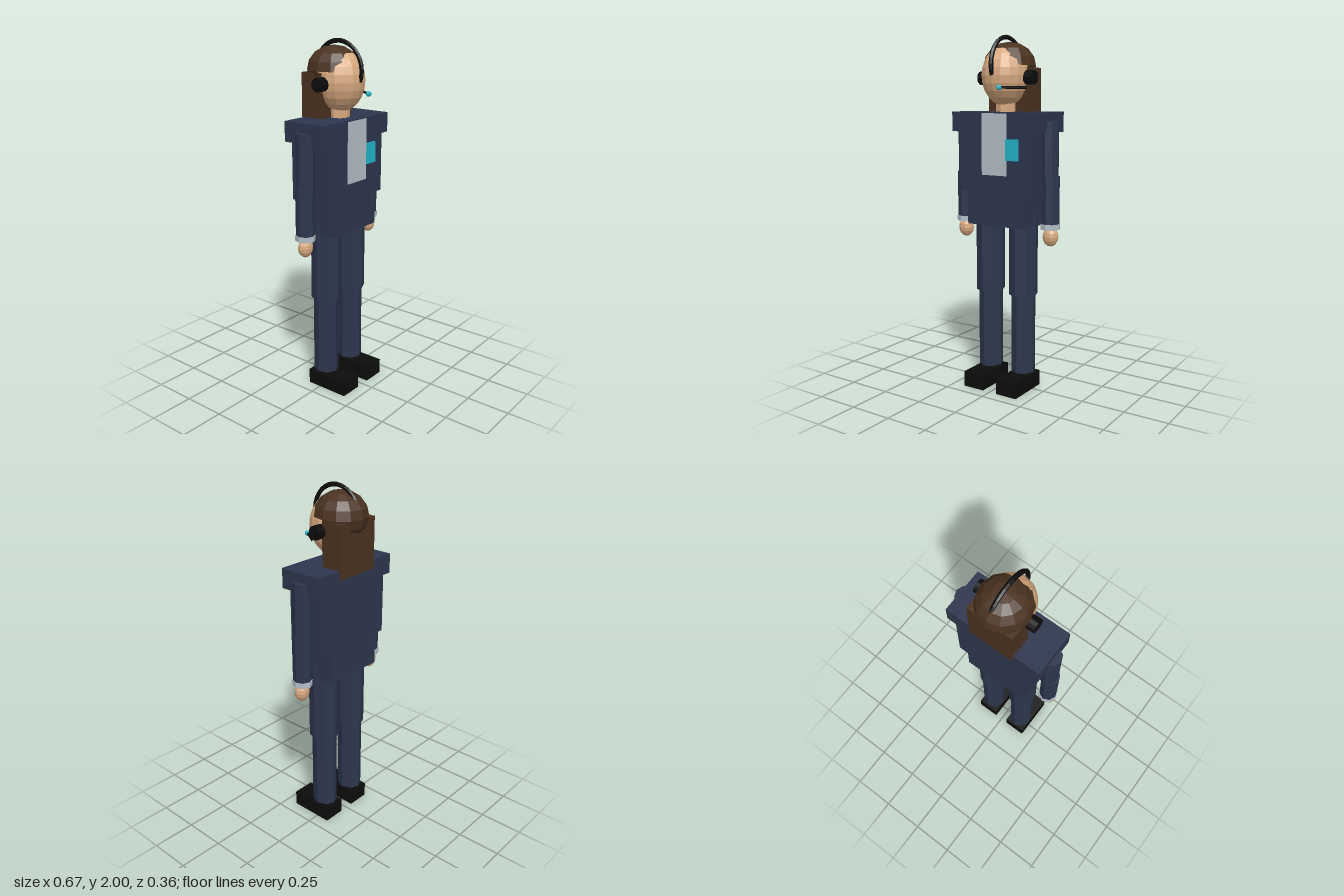
import * as THREE from 'three';

const flat = (name, color) => {
  const m = new THREE.MeshStandardMaterial({ color, flatShading: true });
  m.name = name;
  return m;
};

export function createModel() {
  const suit = flat('navy suit', 0x2d364e);
  const skin = flat('skin', 0xd9aa80);
  const hair = flat('brown hair', 0x4a3220);
  const black = flat('black', 0x0d0d0d);
  const shirt = flat('pale shirt', 0xb4bec8);
  const teal = flat('teal', 0x23b5c9);
  const hairShell = flat('brown hair shell', 0x4a3220);
  hairShell.side = THREE.DoubleSide;

  const model = new THREE.Group();
  model.name = 'headsetPerson';

  const add = (name, geometry, material, x, y, z, scale) => {
    const mesh = new THREE.Mesh(geometry, material);
    mesh.name = name;
    mesh.position.set(x, y, z);
    if (scale) mesh.scale.set(...scale);
    model.add(mesh);
    return mesh;
  };
  // Box given by its limits
  const box = (name, material, x0, x1, y0, y1, z0, z1) =>
    add(name, new THREE.BoxGeometry(x1 - x0, y1 - y0, z1 - z0), material,
      (x0 + x1) / 2, (y0 + y1) / 2, (z0 + z1) / 2);
  // Upright eight-sided limb segment
  const limb = (name, material, x, z, y0, y1, rx, rz) =>
    add(name, new THREE.CylinderGeometry(1, 1, y1 - y0, 8), material,
      x, (y0 + y1) / 2, z, [rx, 1, rz]);

  // Jacket with overhanging shoulders
  const outline = new THREE.Shape([
    [-0.23, 1.14], [0.23, 1.14], [0.23, 1.47], [0.285, 1.47],
    [0.285, 1.58], [-0.285, 1.58], [-0.285, 1.47], [-0.23, 1.47],
  ].map(([x, y]) => new THREE.Vector2(x, y)));
  add('jacket', new THREE.ExtrudeGeometry(outline, { depth: 0.262, bevelEnabled: false }),
    suit, 0, 0, -0.137);
  box('hips', suit, -0.187, 0.187, 0.95, 1.14, -0.125, 0.115);
  box('shirtFront', shirt, -0.08, 0.08, 1.235, 1.573, 0.124, 0.13);
  box('badge', teal, 0.08, 0.157, 1.32, 1.435, 0.124, 0.137);

  // Arms and legs
  for (const [side, s] of [['left', 1], ['right', -1]]) {
    limb(side + 'UpperArm', suit, s * 0.277, -0.004, 1.2, 1.53, 0.048, 0.053);
    limb(side + 'Forearm', suit, s * 0.284, -0.004, 0.97, 1.236, 0.049, 0.053);
    limb(side + 'Cuff', shirt, s * 0.284, -0.004, 0.945, 0.975, 0.053, 0.058);
    add(side + 'Hand', new THREE.SphereGeometry(1, 10, 8), skin,
      s * 0.286, 0.903, -0.002, [0.046, 0.054, 0.038]);
    limb(side + 'Thigh', suit, s * 0.112, -0.002, 0.555, 1.02, 0.08, 0.087);
    limb(side + 'Shin', suit, s * 0.112, -0.004, 0.1, 0.57, 0.067, 0.074);
    box(side + 'Shoe', black, s * 0.111 - 0.066, s * 0.111 + 0.066, 0, 0.087, -0.08, 0.18);
    // Ear cup
    add(side + 'EarCup', new THREE.CylinderGeometry(0.038, 0.038, 0.065, 12), black,
      s * 0.144, 1.765, -0.005).rotation.z = Math.PI / 2;
  }

  // Head
  limb('neck', skin, 0, 0.01, 1.55, 1.67, 0.058, 0.05);
  add('head', new THREE.SphereGeometry(1, 16, 12), skin, 0, 1.775, 0.015, [0.13, 0.165, 0.135]);

  // Hair: crown cap, lower back of the head, long straight fall
  const hairScale = [0.144, 0.13, 0.15];
  add('hairCap', new THREE.SphereGeometry(1, 12, 4, 0, Math.PI * 2, 0, Math.PI / 2),
    hairShell, 0, 1.83, -0.03, hairScale);
  add('hairBack', new THREE.SphereGeometry(1, 6, 3, Math.PI, Math.PI, Math.PI / 2, Math.PI * 0.38),
    hairShell, 0, 1.83, -0.03, hairScale);
  box('longHair', hair, -0.132, 0.132, 1.535, 1.82, -0.147, -0.018);

  // Headset band running front to back, dipping lower at the forehead
  const band = new THREE.TorusGeometry(0.153, 0.0125, 6, 20, Math.PI + 0.7);
  band.rotateZ(-0.35);
  band.rotateY(Math.PI / 2);
  add('headband', band, black, 0, 1.83, 0);

  // Microphone boom and tip
  const boom = new THREE.LineCurve3(new THREE.Vector3(0.148, 1.71, 0.03), new THREE.Vector3(0.055, 1.71, 0.158));
  add('micBoom', new THREE.TubeGeometry(boom, 1, 0.007, 6), black, 0, 0, 0);
  add('micTip', new THREE.SphereGeometry(0.015, 8, 6), teal, 0.055, 1.71, 0.16);

  return model;
}
